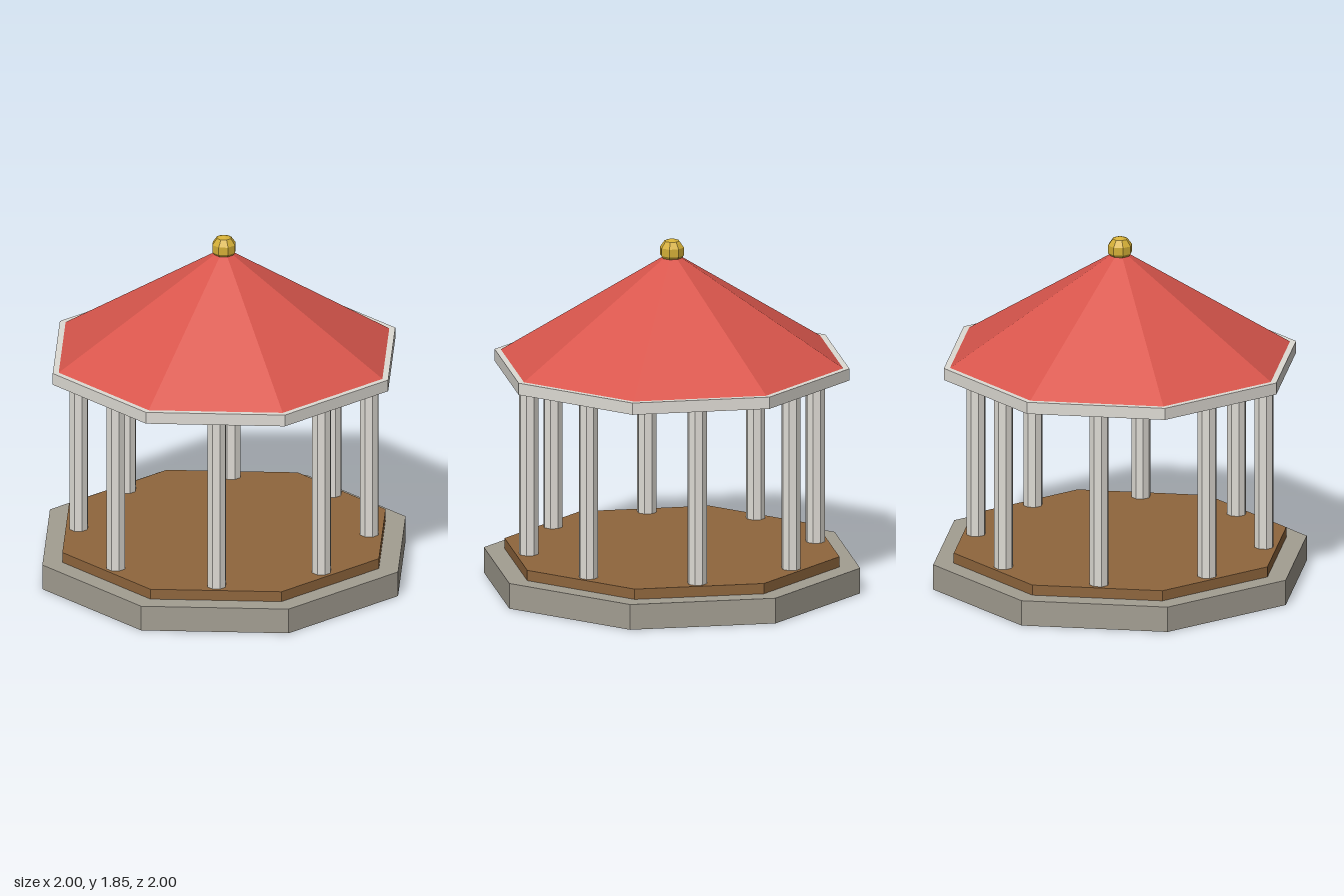
import * as THREE from 'three';

const material = (color) =>
  new THREE.MeshStandardMaterial({ color, flatShading: true });

export function createModel() {
  const pavilion = new THREE.Group();
  pavilion.name = 'pavilion';

  const stone = material(0xa39e92);
  const wood = material(0x8f663d);
  const white = material(0xdedbd4);
  const red = material(0xd9564c);
  const gold = material(0xd4af37);

  function add(name, geometry, mat, x, y, z) {
    const mesh = new THREE.Mesh(geometry, mat);
    mesh.name = name;
    mesh.position.set(x, y, z);
    pavilion.add(mesh);
  }

  // Octagonal slab between two heights, with a corner on each axis
  function slab(name, radius, bottom, top, mat) {
    const geometry = new THREE.CylinderGeometry(radius, radius, top - bottom, 8);
    add(name, geometry, mat, 0, (bottom + top) / 2, 0);
  }

  slab('base', 1, 0, 0.135, stone);
  slab('floor', 0.89, 0.135, 0.19, wood);
  slab('eavesRing', 0.943, 1.137, 1.2, white);

  // Columns stand behind the middle of each side
  const columnHeight = 1.137 - 0.19;
  const columnGeometry = new THREE.CylinderGeometry(0.051, 0.051, columnHeight, 8);
  for (let i = 0; i < 8; i++) {
    const angle = ((i + 0.5) * Math.PI) / 4;
    add('column', columnGeometry, white,
      0.755 * Math.sin(angle), 0.19 + columnHeight / 2, 0.755 * Math.cos(angle));
  }

  // Pyramid roof and the ball on its peak
  const roofHeight = 0.577;
  add('roof', new THREE.ConeGeometry(0.91, roofHeight, 8), red, 0, 1.2 + roofHeight / 2, 0);
  add('finial', new THREE.SphereGeometry(0.067, 8, 5), gold, 0, 1.779, 0);

  return pavilion;
}
